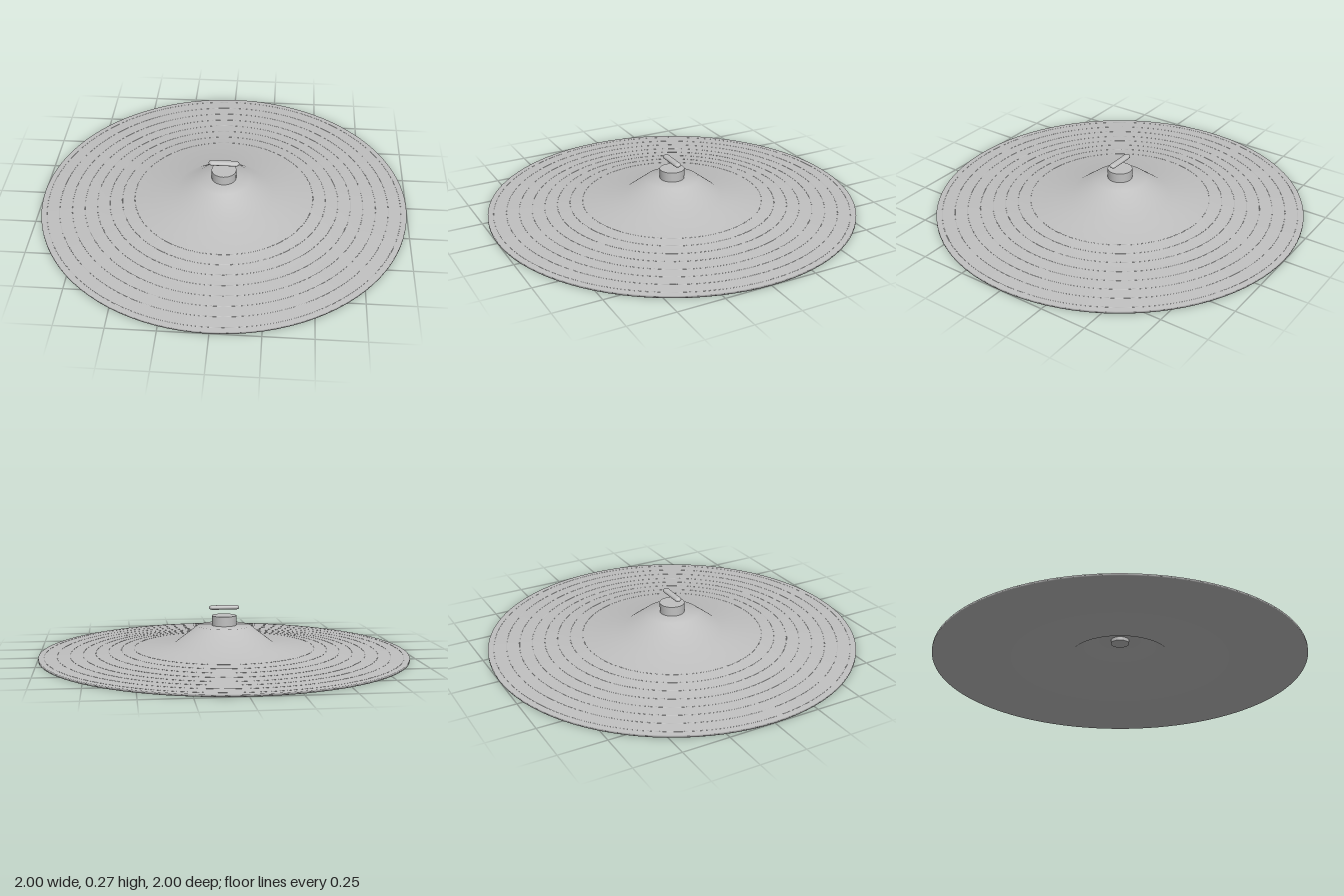
import * as THREE from 'three';

export function createModel() {
  const model = new THREE.Group();
  const metal = new THREE.MeshStandardMaterial({ color: 0xc0c0c0 });
  metal.name = 'grey metal';

  const add = (name, geometry, y = 0) => {
    const mesh = new THREE.Mesh(geometry, metal);
    mesh.name = name;
    mesh.position.y = y;
    model.add(mesh);
    return mesh;
  };

  // Thin hollow plate: underside outwards, round the rim, top side back to the hole
  const profile = [
    [0.045, 0.15], [0.145, 0.147], [0.27, 0.05], [0.74, 0.007], [1, 0],
    [1, 0.012], [0.74, 0.018], [0.27, 0.062], [0.145, 0.159], [0.045, 0.163],
  ].map(([r, y]) => new THREE.Vector2(r, y));
  add('plate', new THREE.LatheGeometry(profile, 96));

  // Fine raised grooves following the slope of the bow
  const surfaceY = (r) => (r < 0.74
    ? 0.062 - ((r - 0.27) / 0.47) * 0.044
    : 0.018 - ((r - 0.74) / 0.26) * 0.006);
  for (let i = 0; i < 8; i++) {
    const r = 0.49 + i * 0.0685;
    const ring = new THREE.TorusGeometry(r, 0.002, 6, 96);
    ring.rotateX(Math.PI / 2);
    add('groove' + (i + 1), ring, surfaceY(r) - 0.001);
  }

  // Felt washer on the bell and the sleeve that passes through the hole
  add('felt', new THREE.CylinderGeometry(0.067, 0.067, 0.055, 32), 0.187);
  add('sleeve', new THREE.CylinderGeometry(0.05, 0.05, 0.04, 32), 0.15);

  // Flattened rounded wing nut floating above the felt
  const wing = new THREE.CapsuleGeometry(0.019, 0.128, 6, 16);
  wing.rotateZ(Math.PI / 2);
  wing.scale(1, 0.65, 1);
  add('wingNut', wing, 0.258);

  return model;
}
